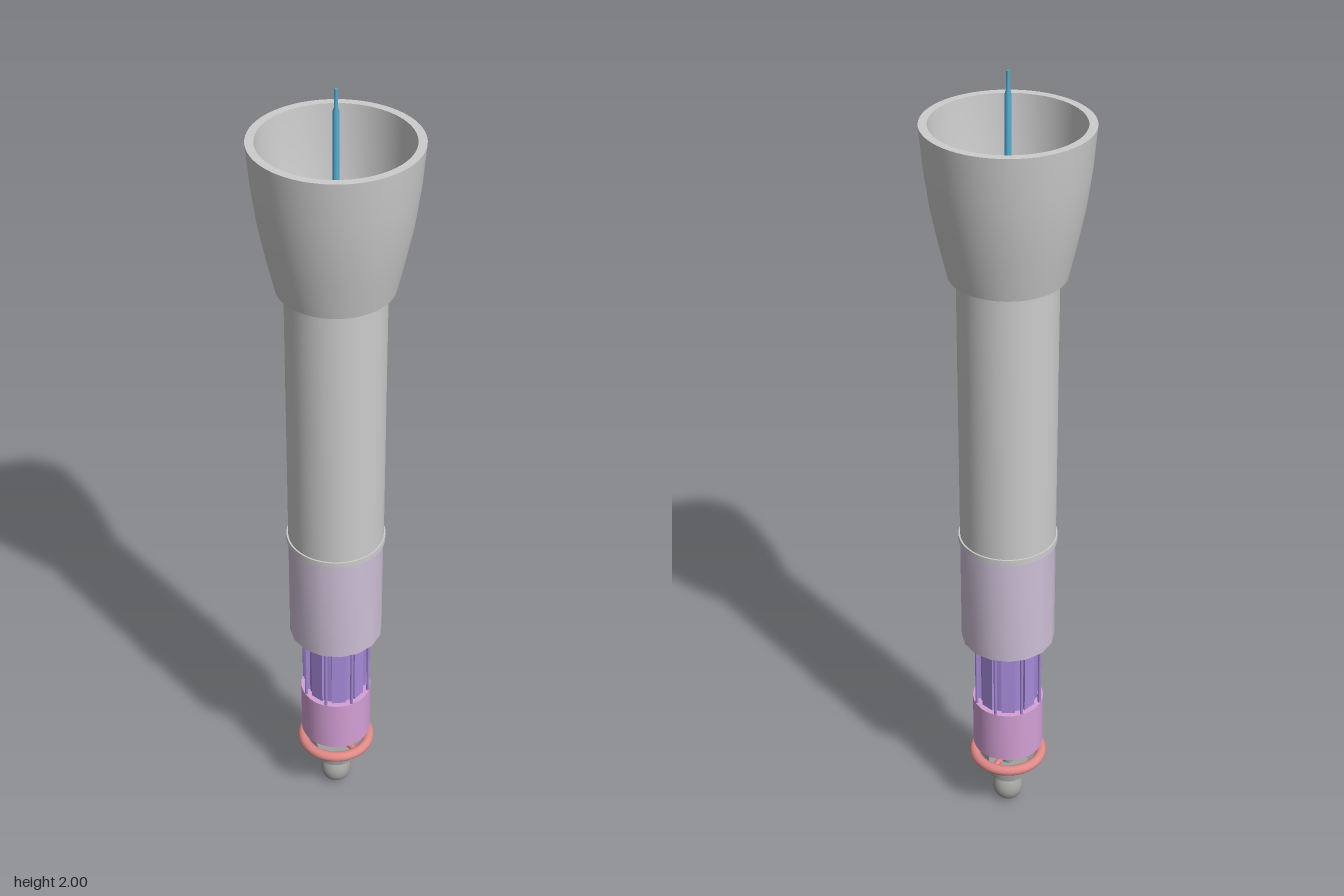
import * as THREE from 'three';
import { toCreasedNormals } from 'three/addons/utils/BufferGeometryUtils.js';

const paint = (color) => new THREE.MeshStandardMaterial({ color });
const mats = {
  lightGrey: paint(0xcccccc), lilac: paint(0xcdc0d6), violet: paint(0xa68ad8),
  plum: paint(0xd3a0d4), salmon: paint(0xe08a88), steel: paint(0xa0a09e),
  magenta: paint(0xd010d0), blue: paint(0x4fa8cc), peach: paint(0xd6a892),
};
for (const [name, m] of Object.entries(mats)) m.name = name;

export function createModel() {
  const model = new THREE.Group();

  const add = (name, geo, mat, x = 0, y = 0, z = 0, parent = model) => {
    const mesh = new THREE.Mesh(geo, mat);
    mesh.name = name;
    mesh.position.set(x, y, z);
    parent.add(mesh);
    return mesh;
  };
  // Profile is [radius, height], outside upwards, then inside downwards
  const turned = (points, sides = 48) => toCreasedNormals(
    new THREE.LatheGeometry(points.map(([r, y]) => new THREE.Vector2(r, y)), sides), 0.5);
  const ring = (ro, ri, y0, y1, sides) =>
    turned([[ri, y0], [ro, y0], [ro, y1], [ri, y1], [ri, y0]], sides);
  const rod = (r, h, sides = 20) => new THREE.CylinderGeometry(r, r, h, sides);
  const around = (n, start, fn) => {
    for (let i = 0; i < n; i++) fn(start + (i / n) * Math.PI * 2);
  };

  // Flared cup with a hollow bowl
  add('flaredCup', turned([
    [0.114, 1.535], [0.134, 1.535], [0.152, 1.615], [0.169, 1.70], [0.181, 1.79], [0.189, 1.885],
    [0.17, 1.885], [0.162, 1.79], [0.149, 1.70], [0.133, 1.615], [0.114, 1.535],
  ], 64), mats.lightGrey);

  // Long tube with its liner, collar and lower sleeve
  add('mainTube', ring(0.115, 0.1125, 0.83, 1.545), mats.lightGrey);
  add('tubeLiner', ring(0.112, 0.095, 0.845, 1.53), mats.magenta);
  add('tubeCollar', ring(0.119, 0.112, 0.83, 0.845), mats.lightGrey);
  add('lowerSleeve', ring(0.115, 0.1, 0.54, 0.83, 16), mats.lilac);

  // Violet inner barrel with ribs
  add('innerBarrel', ring(0.071, 0.066, 0.25, 0.8, 16), mats.violet);
  add('barrelCap', ring(0.091, 0.068, 0.79, 0.81), mats.violet);
  around(8, 0, (a) => {
    const rib = add('barrelRib', new THREE.BoxGeometry(0.034, 0.46, 0.008), mats.violet,
      Math.sin(a) * 0.071, 0.57, Math.cos(a) * 0.071);
    rib.rotation.y = a;
  });
  around(8, Math.PI / 8, (a) => add('guideRod', rod(0.004, 0.46, 8), mats.violet,
    Math.sin(a) * 0.085, 0.57, Math.cos(a) * 0.085));
  add('barrelSocket', ring(0.089, 0.071, 0.2, 0.345), mats.plum);

  // Three-lobed plate held by domed screws
  const lobed = new THREE.Shape();
  for (let i = 0; i < 60; i++) {
    const a = (i / 60) * Math.PI * 2;
    const r = 0.059 + 0.01 * Math.cos(3 * (a - 0.96));
    lobed[i ? 'lineTo' : 'moveTo'](Math.cos(a) * r, Math.sin(a) * r);
  }
  lobed.closePath();
  lobed.holes.push(new THREE.Path().absarc(0, 0, 0.028, 0, Math.PI * 2, true));
  const plate = new THREE.ExtrudeGeometry(lobed, { depth: 0.02, bevelEnabled: false, curveSegments: 24 });
  plate.rotateX(-Math.PI / 2);
  add('lobedPlate', plate, mats.peach, 0, 0.7, 0);
  around(3, 0.96, (a) => {
    const x = Math.cos(a) * 0.051, z = -Math.sin(a) * 0.051;
    add('domedScrew', new THREE.SphereGeometry(0.015, 20, 12), mats.lightGrey, x, 0.724, z);
    add('plateStud', rod(0.007, 0.52), mats.steel, x, 0.445, z);
  });
  add('centreBushing', ring(0.028, 0.018, 0.66, 0.73), mats.steel);

  // Salmon hand ring with three spokes
  const handRing = new THREE.Group();
  handRing.name = 'handRing';
  model.add(handRing);
  const hoop = new THREE.TorusGeometry(0.086, 0.013, 14, 56);
  hoop.rotateX(Math.PI / 2);
  add('hoop', hoop, mats.salmon, 0, 0.162, 0, handRing);
  around(3, 1.9, (a) => {
    const spoke = rod(0.008, 0.078, 12);
    spoke.rotateZ(Math.PI / 2);
    spoke.translate(0.047, 0, 0);
    add('spoke', spoke, mats.salmon, 0, 0.162, 0, handRing).rotation.y = a;
  });

  // Bottom stem, collar and ball
  add('stem', rod(0.014, 0.6), mats.steel, 0, 0.4, 0);
  add('stemFlange', rod(0.05, 0.012, 24), mats.steel, 0, 0.192, 0);
  add('stemCollar', turned([[0, 0.083], [0.036, 0.083], [0.05, 0.092], [0.05, 0.124], [0, 0.124]], 24),
    mats.steel);
  add('ballNeck', rod(0.022, 0.03), mats.steel, 0, 0.075, 0);
  add('ball', new THREE.SphereGeometry(0.039, 32, 20), mats.steel, 0, 0.039, 0);

  // Slender blue needle and its two curved arms
  add('needle', turned([[0, 0.7], [0.013, 0.7], [0.013, 1.0], [0.007, 1.08], [0.007, 1.95],
    [0.004, 1.96], [0.004, 2], [0, 2]], 16), mats.blue);
  const arms = new THREE.Group();
  arms.name = 'curvedArms';
  arms.rotation.y = 0.07;
  model.add(arms);
  const hook = new THREE.Shape();
  hook.moveTo(0, 0.86);
  hook.lineTo(0.03, 0.86);
  hook.quadraticCurveTo(0.094, 0.87, 0.094, 0.98);
  hook.lineTo(0.086, 0.98);
  hook.quadraticCurveTo(0.082, 0.885, 0.03, 0.872);
  hook.lineTo(0, 0.872);
  hook.closePath();
  const arm = toCreasedNormals(new THREE.ExtrudeGeometry(hook,
    { depth: 0.03, bevelEnabled: false, curveSegments: 12 }).translate(0, 0, -0.015), 0.5);
  for (const turn of [0, Math.PI]) add('curvedArm', arm, mats.blue, 0, 0, 0, arms).rotation.y = turn;

  return model;
}
